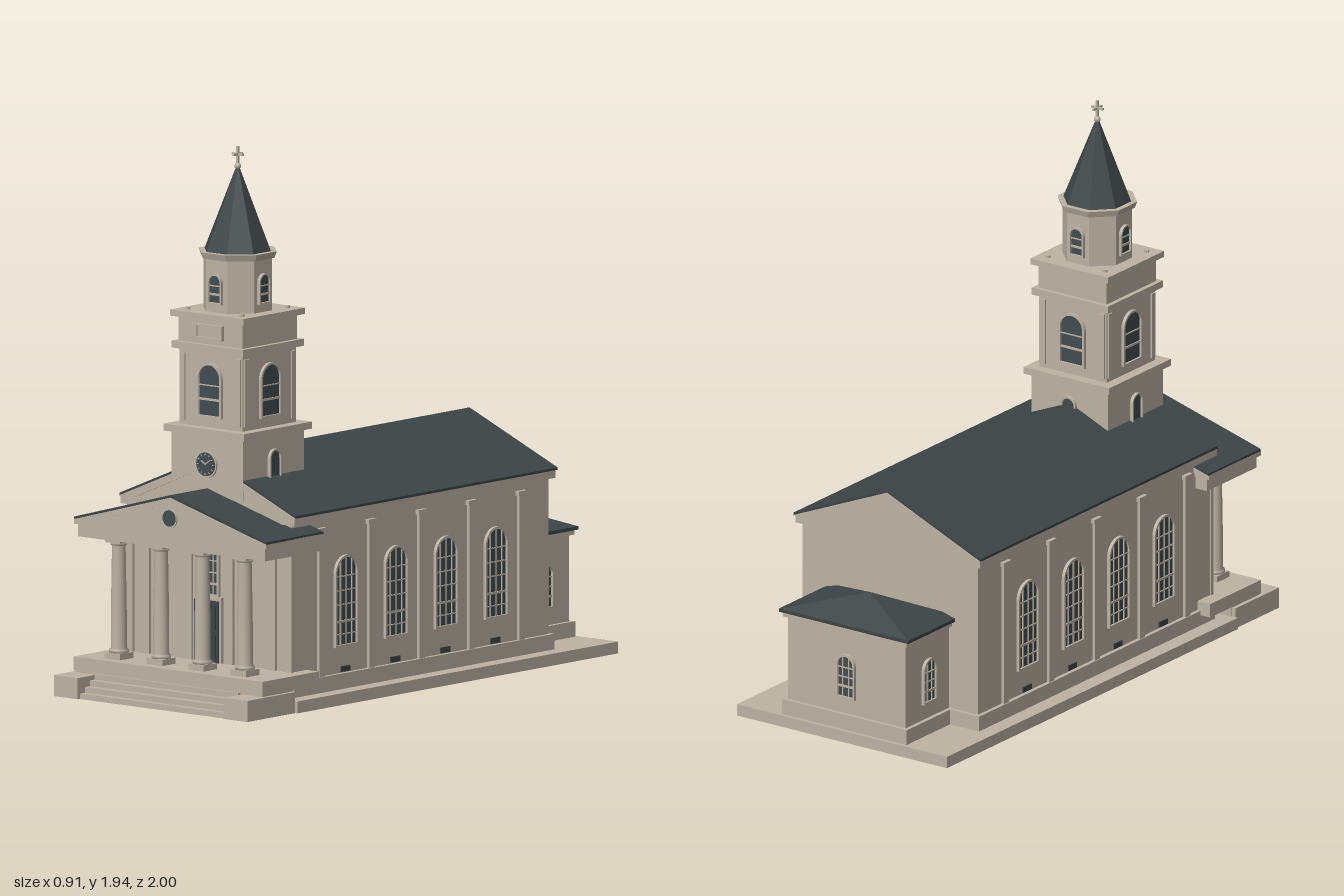
import * as THREE from 'three';

const mat = (name, color) => Object.assign(new THREE.MeshStandardMaterial({ color }), { name });
const stone = mat('stone', 0xbdb3a4);
const slate = mat('slate', 0x3d4547);
const glass = mat('glass', 0x414c4f);

function add(parent, name, geo, material, x = 0, y = 0, z = 0) {
  const m = new THREE.Mesh(geo, material);
  m.name = name;
  m.position.set(x, y, z);
  parent.add(m);
  return m;
}

// box given by its limits
function box(parent, name, material, x0, x1, y0, y1, z0, z1) {
  return add(parent, name, new THREE.BoxGeometry(x1 - x0, y1 - y0, z1 - z0), material,
    (x0 + x1) / 2, (y0 + y1) / 2, (z0 + z1) / 2);
}

// faceted solid with flat sides facing the axes; a0 top and a1 bottom apothem
function facets(a0, a1, h, n) {
  const k = Math.cos(Math.PI / n);
  const g = new THREE.CylinderGeometry(a0 / k, a1 / k, h, n).rotateY(Math.PI / n).toNonIndexed();
  g.computeVertexNormals();
  return g;
}

// outline of half width w and height h, standing on y = 0
function outline(w, h, arched, Type = THREE.Shape, inset = 0) {
  const s = new Type();
  const r = w - inset;
  s.moveTo(-r, inset);
  s.lineTo(r, inset);
  if (arched) {
    s.lineTo(r, h - w);
    s.absarc(0, h - w, r, 0, Math.PI, false);
  } else {
    s.lineTo(r, h - inset);
    s.lineTo(-r, h - inset);
  }
  s.closePath();
  return s;
}

// framed window facing +z, with bars across the pane
function makeWindow(name, w, h, { arched = true, frame = 0.008, cols = 0, rows = [], pane = glass } = {}) {
  const g = new THREE.Group();
  g.name = name;
  const s = outline(w, h, arched);
  s.holes.push(outline(w, h, arched, THREE.Path, frame));
  add(g, 'frame', new THREE.ExtrudeGeometry(s, { depth: 0.012, bevelEnabled: false, curveSegments: 10 }), stone);
  add(g, 'pane', new THREE.ShapeGeometry(outline(w, h, arched, THREE.Shape, frame * 0.6), 10), pane, 0, 0, 0.004);
  for (let i = 1; i <= cols; i++) {
    const x = -w + (2 * w * i) / (cols + 1);
    const top = arched ? h - w + Math.sqrt(w * w - x * x) - frame : h - frame;
    box(g, 'upright bar', stone, x - 0.002, x + 0.002, 0.004, top, 0.002, 0.008);
  }
  rows.forEach((y, i) => {
    const t = i === 0 ? 0.004 : 0.002;
    box(g, 'cross bar', stone, -w + 0.004, w - 0.004, y - t, y + t, 0.002, 0.008);
  });
  return g;
}

function place(parent, obj, x, y, z, turn = 0) {
  obj.position.set(x, y, z);
  obj.rotation.y = turn;
  parent.add(obj);
}

// gabled roof: stone gable prism with thin slate slopes
function gableRoof(parent, name, hw, y0, y1, z0, z1) {
  const g = new THREE.Group();
  g.name = name;
  const depth = z1 - z0;
  const t = 0.009;
  const extrude = pts => new THREE.ExtrudeGeometry(new THREE.Shape(pts.map(p => new THREE.Vector2(...p))),
    { depth, bevelEnabled: false });
  add(g, 'gable', extrude([[-hw, y0], [hw, y0], [0, y1 - t]]), stone, 0, 0, z0);
  add(g, 'slopes', extrude([[-hw, y0], [0, y1 - t], [hw, y0], [hw, y0 + t], [0, y1], [-hw, y0 + t]]), slate, 0, 0, z0);
  // raking cornices on both ends
  for (const z of [z0 - 0.004, z1 - 0.004]) {
    const rake = new THREE.Shape([[-hw, y0], [-hw + 0.07, y0], [0, y1 - 0.034], [hw - 0.07, y0], [hw, y0], [0, y1 - t]]
      .map(p => new THREE.Vector2(...p)));
    add(g, 'raking cornice', new THREE.ExtrudeGeometry(rake, { depth: 0.008, bevelEnabled: false }), stone, 0, 0, z);
  }
  parent.add(g);
}

function makeBody() {
  const g = new THREE.Group();
  g.name = 'nave';
  box(g, 'base slab', stone, -0.455, 0.455, 0, 0.042, -1, 0.74);
  box(g, 'plinth', stone, -0.395, 0.395, 0.042, 0.097, -0.725, 0.685);
  box(g, 'walls', stone, -0.38, 0.38, 0.097, 0.655, -0.71, 0.68);
  box(g, 'eaves cornice', stone, -0.4, 0.4, 0.652, 0.682, -0.725, 0.69);
  gableRoof(g, 'main roof', 0.405, 0.68, 0.86, -0.73, 0.69);
  for (const s of [-1, 1]) {
    for (let i = 0; i < 5; i++) {
      const z = 0.53 - i * 0.271;
      box(g, 'side pilaster', stone, s * 0.383 - 0.008, s * 0.383 + 0.008, 0.097, 0.61, z - 0.015, z + 0.015);
      box(g, 'pilaster capital', stone, s * 0.385 - 0.01, s * 0.385 + 0.01, 0.61, 0.626, z - 0.022, z + 0.022);
      if (i === 4) continue;
      const wz = z - 0.136;
      place(g, makeWindow('side window', 0.062, 0.325, { cols: 3, rows: [0.09, 0.045, 0.15, 0.2, 0.25] }),
        s * 0.38, 0.19, wz, s * Math.PI / 2);
      box(g, 'vent', slate, s * 0.38 - 0.004, s * 0.38 + 0.004, 0.1, 0.12, wz - 0.025, wz + 0.025);
    }
    // front wall pilasters
    for (const x of [0.095, 0.29, 0.365])
      box(g, 'front pilaster', stone, s * x - 0.02, s * x + 0.02, 0.097, 0.6, 0.675, 0.69);
  }
  return g;
}

function makeAnnex() {
  const g = new THREE.Group();
  g.name = 'rear annex';
  box(g, 'annex plinth', stone, -0.27, 0.27, 0.042, 0.097, -0.985, -0.7);
  box(g, 'annex walls', stone, -0.255, 0.255, 0.097, 0.41, -0.97, -0.7);
  box(g, 'annex cornice', stone, -0.268, 0.268, 0.405, 0.425, -0.982, -0.7);
  box(g, 'annex eaves', slate, -0.28, 0.28, 0.423, 0.435, -0.99, -0.69);
  const roof = add(g, 'annex roof', facets(0, 1, 0.077, 4), slate, 0, 0.473, -0.835);
  roof.geometry.scale(0.28, 1, 0.155).toNonIndexed;
  roof.geometry.computeVertexNormals();
  const opts = { cols: 2, rows: [0.045, 0.08, 0.115] };
  place(g, makeWindow('annex back window', 0.04, 0.165, opts), 0, 0.155, -0.97, Math.PI);
  for (const s of [-1, 1])
    place(g, makeWindow('annex side window', 0.04, 0.165, opts), s * 0.255, 0.155, -0.835, s * Math.PI / 2);
  return g;
}

function makePortico() {
  const g = new THREE.Group();
  g.name = 'portico';
  box(g, 'floor', stone, -0.435, 0.435, 0.08, 0.13, 0.6, 0.905);
  box(g, 'floor support', stone, -0.43, 0.43, 0, 0.08, 0.735, 0.9);
  for (let i = 0; i < 4; i++)
    box(g, 'step', stone, -0.33, 0.33, 0, 0.02 * (i + 1), 0.88, 0.992 - i * 0.026);
  // column turned on a lathe
  const profile = [[0, 0.15], [0.035, 0.15], [0.035, 0.162], [0.028, 0.168], [0.028, 0.3], [0.024, 0.53],
    [0.029, 0.535], [0.032, 0.545], [0, 0.545]].map(p => new THREE.Vector2(...p));
  for (const s of [-1, 1]) {
    box(g, 'cheek block', stone, s * 0.39 - 0.055, s * 0.39 + 0.055, 0, 0.075, 0.74, 1);
    for (const x of [0.095, 0.29]) {
      box(g, 'column base', stone, s * x - 0.036, s * x + 0.036, 0.13, 0.152, 0.794, 0.866);
      add(g, 'column', new THREE.LatheGeometry(profile, 24), stone, s * x, 0, 0.83);
      box(g, 'column capital', stone, s * x - 0.034, s * x + 0.034, 0.543, 0.558, 0.796, 0.864);
    }
  }
  box(g, 'entablature', stone, -0.43, 0.43, 0.555, 0.605, 0.59, 0.885);
  box(g, 'cornice', stone, -0.442, 0.442, 0.6, 0.618, 0.585, 0.895);
  gableRoof(g, 'portico roof', 0.442, 0.616, 0.747, 0.583, 0.893);
  const disc = (name, r, m, z) => add(g, name, new THREE.CylinderGeometry(r, r, 0.008, 24).rotateX(Math.PI / 2), m, 0, 0.665, z);
  disc('round window frame', 0.034, stone, 0.894);
  disc('round window', 0.029, glass, 0.897);
  // entrance
  box(g, 'door frame', stone, -0.064, 0.064, 0.13, 0.362, 0.68, 0.694);
  for (const s of [-1, 1]) {
    box(g, 'door leaf', slate, s * 0.028 - 0.0265, s * 0.028 + 0.0265, 0.13, 0.35, 0.692, 0.699);
    for (const y of [0.15, 0.25])
      box(g, 'door panel', slate, s * 0.028 - 0.017, s * 0.028 + 0.017, y, y + 0.08, 0.698, 0.702);
  }
  place(g, makeWindow('window over door', 0.056, 0.17,
    { arched: false, cols: 3, rows: [0.045, 0.085, 0.127] }), 0, 0.365, 0.686);
  return g;
}

function makeTower() {
  const g = new THREE.Group();
  g.name = 'tower';
  const block = (name, a, y0, y1) => box(g, name, stone, -a, a, y0, y1, -a, a);
  block('tower base', 0.165, 0.715, 0.935);
  block('lower cornice', 0.185, 0.935, 0.96);
  block('belfry', 0.145, 0.96, 1.23);
  block('belfry cornice', 0.165, 1.23, 1.255);
  block('attic stage', 0.148, 1.255, 1.343);
  block('attic cornice', 0.168, 1.343, 1.365);
  const oct = (name, a0, a1, y0, y1, m) => add(g, name, facets(a0, a1, y1 - y0, 8), m, 0, (y0 + y1) / 2, 0);
  oct('lantern', 0.116, 0.116, 1.365, 1.555, stone);
  oct('lantern cornice', 0.133, 0.125, 1.552, 1.575, stone);
  oct('spire', 0.007, 0.113, 1.575, 1.865, slate);

  // windows and corner strips on all four sides
  for (let i = 0; i < 4; i++) {
    const side = new THREE.Group();
    side.name = 'tower side';
    place(side, makeWindow('belfry window', 0.056, 0.195, { rows: [0.065, 0.115] }), 0, 0.995, 0.145);
    place(side, makeWindow('lantern window', 0.031, 0.108, { frame: 0.006, rows: [0.035, 0.065] }), 0, 1.395, 0.116);
    for (const s of [-1, 1])
      box(side, 'corner strip', stone, s * 0.128 - 0.011, s * 0.128 + 0.011, 0.975, 1.215, 0.143, 0.151);
    if (i) place(side, makeWindow('base window', 0.032, 0.11, { frame: 0.006 }), 0, 0.775, 0.165);
    place(g, side, 0, 0, 0, i * Math.PI / 2);
    const a = Math.PI / 4 + i * Math.PI / 2;
    add(g, 'corner stud', new THREE.CylinderGeometry(0.009, 0.009, 0.01, 12), stone,
      Math.cos(a) * 0.175, 1.369, Math.sin(a) * 0.175);
  }
  place(g, makeWindow('front panel', 0.062, 0.052, { arched: false, frame: 0.007, pane: stone }), 0, 1.274, 0.148);

  // clock
  const disc = (name, r, m, z) => add(g, name, new THREE.CylinderGeometry(r, r, 0.008, 28).rotateX(Math.PI / 2), m, 0, 0.833, z);
  disc('clock rim', 0.048, stone, 0.169);
  disc('clock face', 0.042, glass, 0.172);
  for (let i = 0; i < 12; i++) {
    const a = i * Math.PI / 6;
    const tick = add(g, 'hour mark', new THREE.BoxGeometry(0.003, 0.007, 0.003), stone,
      Math.sin(a) * 0.035, 0.833 + Math.cos(a) * 0.035, 0.176);
    tick.rotation.z = -a;
  }
  for (const [len, a] of [[0.022, -0.95], [0.029, 0.95]]) {
    const hand = add(g, 'clock hand', new THREE.BoxGeometry(0.004, len, 0.003).translate(0, len / 2, 0), stone, 0, 0.833, 0.177);
    hand.rotation.z = -a;
  }

  // finial cross
  add(g, 'finial ball', new THREE.SphereGeometry(0.012, 16, 10), stone, 0, 1.872, 0);
  box(g, 'cross post', stone, -0.004, 0.004, 1.87, 1.942, -0.004, 0.004);
  box(g, 'cross arm', stone, -0.025, 0.025, 1.91, 1.918, -0.004, 0.004);
  box(g, 'cross arm', stone, -0.004, 0.004, 1.91, 1.918, -0.025, 0.025);
  g.position.z = 0.527;
  return g;
}

export function createModel() {
  const model = new THREE.Group();
  model.name = 'church';
  model.add(makeBody(), makeAnnex(), makePortico(), makeTower());
  return model;
}
